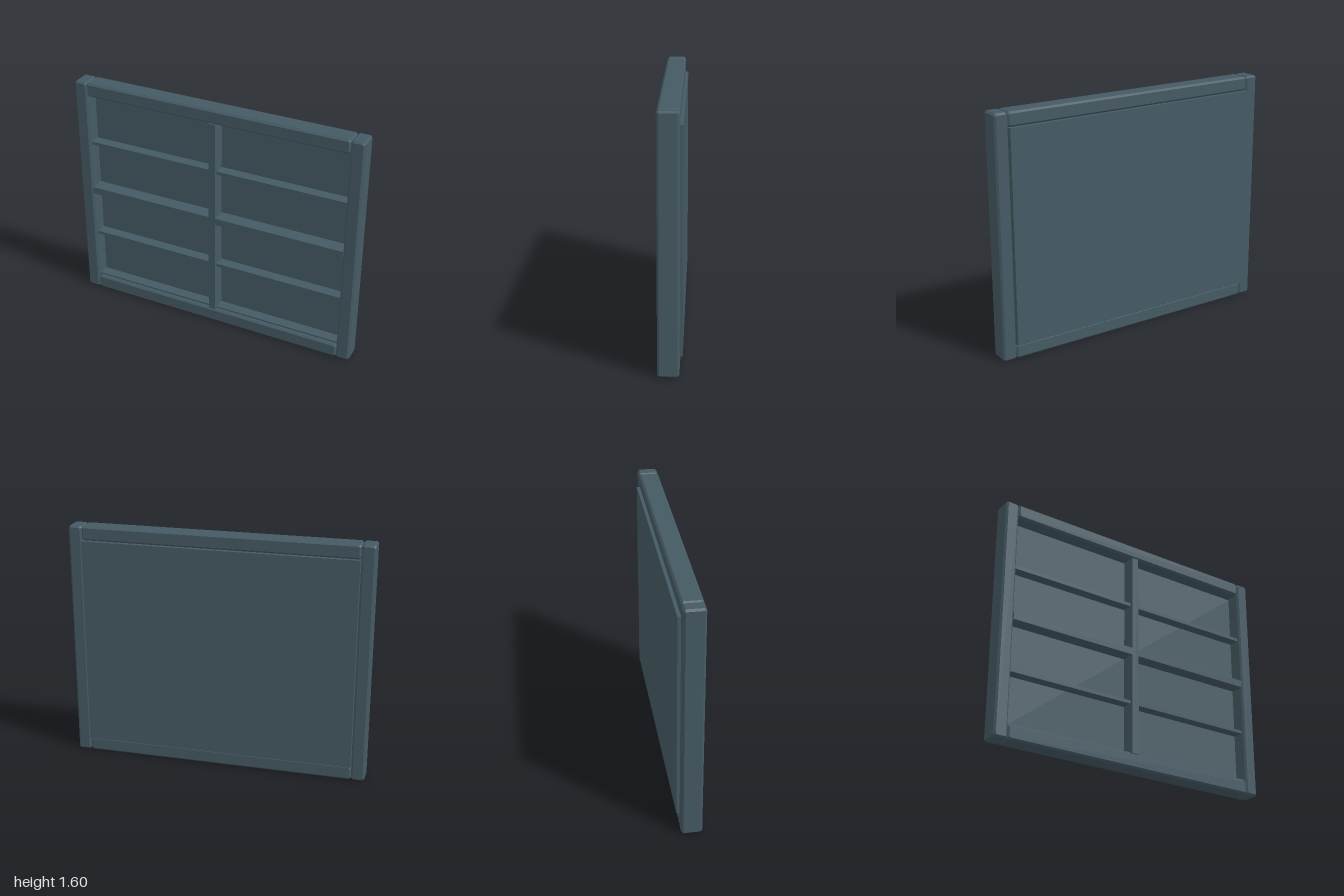
import * as THREE from 'three';

const frameColor = new THREE.MeshStandardMaterial({ color: 0x455a64 });
frameColor.name = 'slateBlueGrey';

// Box given by its low and high limits on each axis
function bar(name, [x0, x1], [y0, y1], [z0, z1]) {
  const mesh = new THREE.Mesh(new THREE.BoxGeometry(x1 - x0, y1 - y0, z1 - z0), frameColor);
  mesh.position.set((x0 + x1) / 2, (y0 + y1) / 2, (z0 + z1) / 2);
  mesh.name = name;
  return mesh;
}

// Same, with all edges chamfered
function chamferedBar(name, [x0, x1], [y0, y1], [z0, z1], c = 0.012) {
  const w = (x1 - x0) / 2 - c, h = (y1 - y0) / 2 - c, d = z1 - z0 - 2 * c;
  const k = c * 0.999; // cut at the corners of the outline
  const W = w + c, H = h + c;
  const outline = [
    [W - k, -H], [W, -H + k], [W, H - k], [W - k, H],
    [-W + k, H], [-W, H - k], [-W, -H + k], [-W + k, -H],
  ].map(([x, y]) => new THREE.Vector2(x, y));
  const geometry = new THREE.ExtrudeGeometry(new THREE.Shape(outline), {
    depth: d, bevelEnabled: true, bevelSegments: 1,
    bevelThickness: c, bevelSize: c, bevelOffset: -c,
  });
  geometry.translate((x0 + x1) / 2, (y0 + y1) / 2, z0 + c);
  const mesh = new THREE.Mesh(geometry, frameColor);
  mesh.name = name;
  return mesh;
}

export function createModel() {
  const group = new THREE.Group();
  group.name = 'panelledFrame';

  const top = 1.596, inner = 0.91;
  const low = 0.097, high = 1.502;      // opening between the rails
  const frameZ = [-0.057, 0.075];
  const panelFront = -0.022;

  // Outer frame
  group.add(
    chamferedBar('leftPost', [inner, 1], [0, top], frameZ),
    chamferedBar('rightPost', [-1, -inner], [0, top], frameZ),
    chamferedBar('topRail', [-inner, inner], [high, top], frameZ),
    chamferedBar('bottomRail', [-inner, inner], [0, low], frameZ),
  );

  // Backing panel, standing slightly proud at the rear
  group.add(bar('backPanel', [-inner + 0.003, inner - 0.003], [low, high], [-0.075, panelFront]));

  // Main cross bars
  const barZ = [panelFront, 0.073];
  group.add(bar('centreMullion', [-0.024, 0.024], [low, high], barZ));
  for (const [side, x] of [['left', [0.024, inner]], ['right', [-inner, -0.024]]]) {
    group.add(bar(side + 'MiddleBar', x, [0.776, 0.824], barZ));
    // Slim battens set back from the main bars
    for (const y of [0.097, 0.449, 1.151]) {
      group.add(bar(side + 'Batten', x, [y - 0.011, y + 0.011], [panelFront, 0.05]));
    }
  }
  return group;
}
